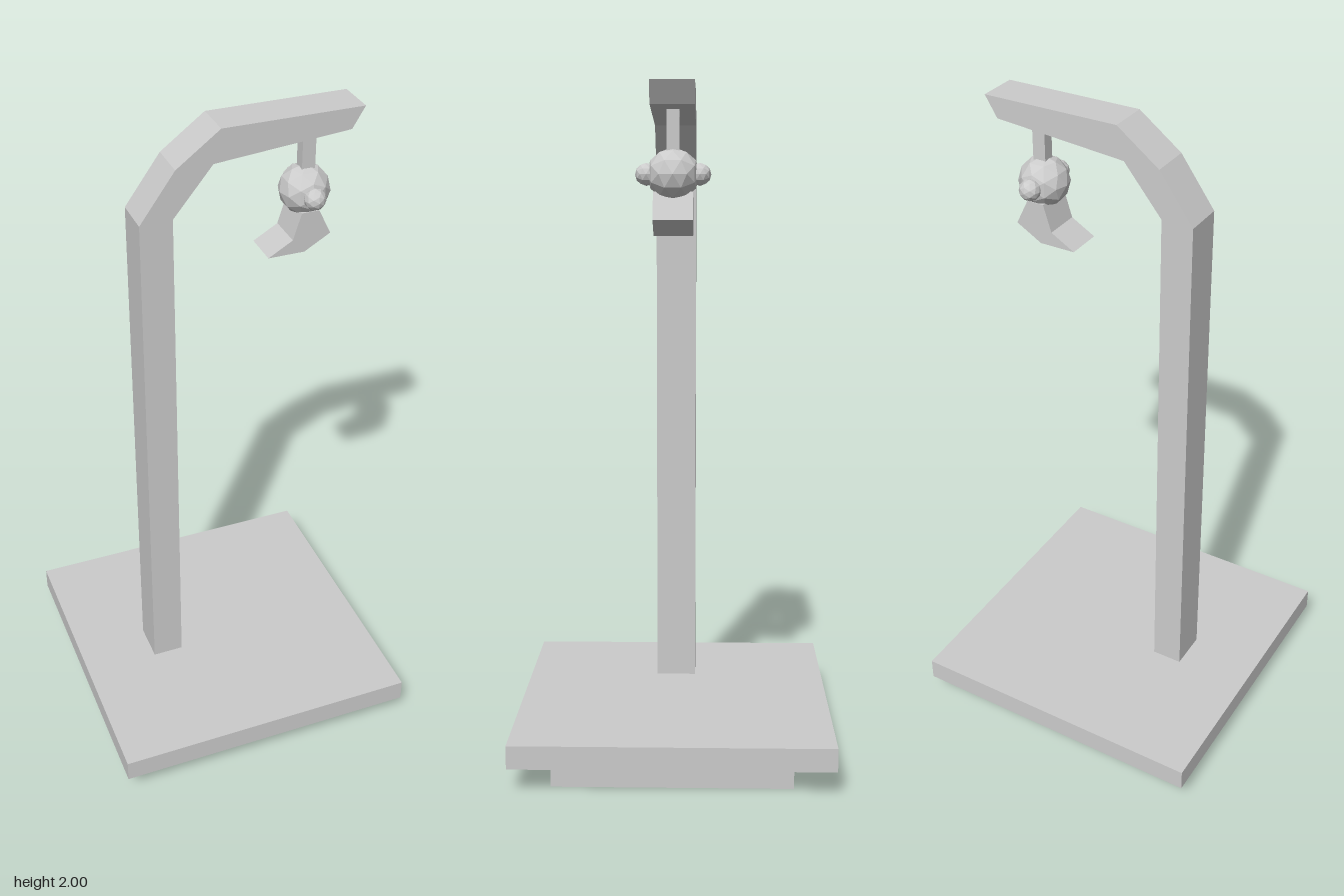
import * as THREE from 'three';

const material = new THREE.MeshStandardMaterial({ color: 0xcccccc, flatShading: true });

export function createModel() {
  const model = new THREE.Group();

  const add = (name, geometry, x = 0, y = 0, z = 0) => {
    const mesh = new THREE.Mesh(geometry, material);
    mesh.name = name;
    mesh.position.set(x, y, z);
    model.add(mesh);
    return mesh;
  };

  // Side profile in x/y, given depth along z and centred on z = 0
  const slab = (points, depth) => {
    const shape = new THREE.Shape(points.map(([x, y]) => new THREE.Vector2(x, y)));
    return new THREE.ExtrudeGeometry(shape, { depth, bevelEnabled: false }).translate(0, 0, -depth / 2);
  };

  // Base plate on two runners
  add('basePlate', new THREE.BoxGeometry(0.946, 0.07, 0.946), 0, 0.113, 0);
  for (const side of [-1, 1]) {
    add(side < 0 ? 'rightRunner' : 'leftRunner', new THREE.BoxGeometry(0.05, 0.08, 0.706), side * 0.386, 0.04, 0);
  }

  // Post bending over into the slanted arm
  add('postAndArm', slab([
    [-0.243, 0.14], [-0.147, 0.14], [-0.147, 1.76], [-0.03, 1.903], [0.374, 1.938],
    [0.412, 2], [-0.008, 2], [-0.138, 1.903], [-0.243, 1.757],
  ], 0.123));

  // Hanging stem and swivel ball with a knob at front and back
  add('stem', new THREE.BoxGeometry(0.04, 0.16, 0.036), 0.269, 1.86, 0);
  add('swivelBall', new THREE.IcosahedronGeometry(0.075, 1), 0.266, 1.753, 0);
  for (const side of [-1, 1]) {
    add(side < 0 ? 'backKnob' : 'frontKnob', new THREE.IcosahedronGeometry(0.032, 1), 0.266, 1.753, side * 0.075);
  }

  // Angular hook
  add('hook', slab([
    [0.138, 1.582], [0.249, 1.582], [0.328, 1.628], [0.29, 1.705], [0.237, 1.705], [0.212, 1.625],
  ], 0.112));

  return model;
}
